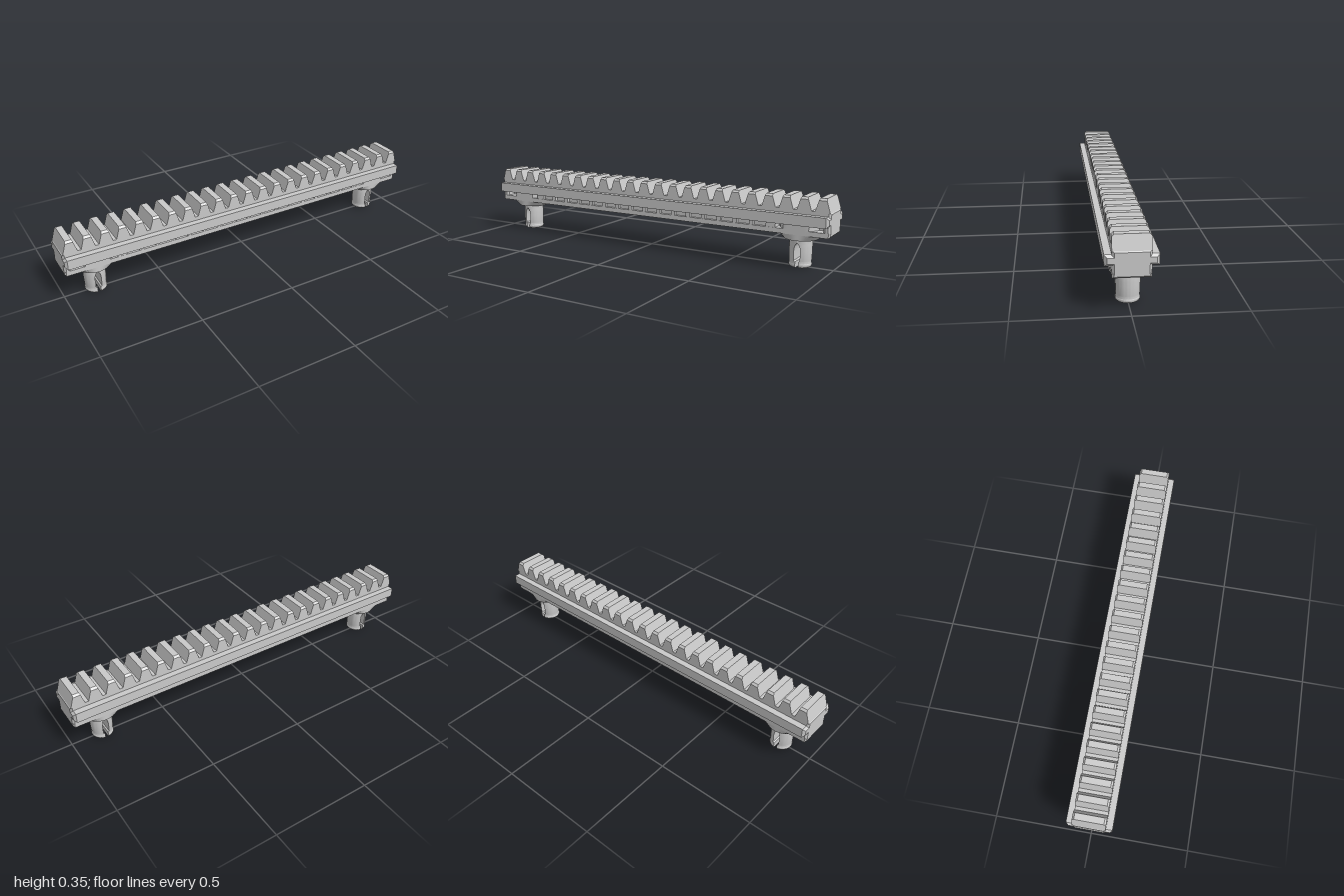
import * as THREE from 'three';
import { toCreasedNormals } from 'three/addons/utils/BufferGeometryUtils.js';

const PITCH = 0.0873, TEETH = 23, PEG_X = 0.837;

export function createModel() {
  const group = new THREE.Group();
  group.name = 'gearRack';
  const grey = new THREE.MeshStandardMaterial({ color: 0xcacaca });
  grey.name = 'light grey';

  const add = (name, geometry) => {
    const mesh = new THREE.Mesh(geometry, grey);
    mesh.name = name;
    group.add(mesh);
    return mesh;
  };

  const shapeOf = (points) => new THREE.Shape(points.map(([x, y]) => new THREE.Vector2(x, y)));

  // Bar along x with chamfered ends; the chamfer stays inside the outline
  const bar = (name, x0, x1, y0, y1, z0, z1, b) => {
    const g = new THREE.ExtrudeGeometry(shapeOf([[-z1, y0], [-z0, y0], [-z0, y1], [-z1, y1]]), {
      depth: x1 - x0 - 2 * b, bevelEnabled: true, bevelThickness: b,
      bevelSize: b, bevelOffset: -b, bevelSegments: 1,
    });
    g.translate(0, 0, b).rotateY(Math.PI / 2).translate(x0, 0, 0);
    return add(name, g);
  };

  const box = (name, x0, x1, y0, y1, halfZ) =>
    add(name, new THREE.BoxGeometry(x1 - x0, y1 - y0, halfZ * 2)
      .translate((x0 + x1) / 2, (y0 + y1) / 2, 0));

  // Upper body: chamfered ends below, square-edged floor between the teeth
  bar('upperBody', -1, 1, 0.215, 0.29, -0.082, 0.082, 0.01);
  box('toothFloor', -0.99, 0.99, 0.25, 0.29, 0.082);

  // Teeth: section with cut top corners, tapered along x with height
  const tooth = new THREE.ExtrudeGeometry(shapeOf([
    [-0.082, 0.285], [0.082, 0.285], [0.082, 0.342], [0.072, 0.352], [-0.072, 0.352], [-0.082, 0.342],
  ]), { depth: 2, bevelEnabled: false });
  tooth.translate(0, 0, -1).rotateY(Math.PI / 2);
  const tp = tooth.attributes.position;
  for (let i = 0; i < tp.count; i++)
    tp.setX(i, tp.getX(i) * THREE.MathUtils.mapLinear(tp.getY(i), 0.29, 0.352, 0.035, 0.016));
  tooth.computeVertexNormals();
  for (let i = 0; i < TEETH; i++)
    add('tooth', tooth).position.x = (i - (TEETH - 1) / 2) * PITCH;

  // Side rails
  bar('leftRail', -1, 1, 0.22, 0.27, 0.06, 0.1135, 0.012);
  bar('rightRail', -1, 1, 0.22, 0.27, -0.1135, -0.06, 0.012);

  // Base plate and recessed core
  bar('basePlate', -1, 1, 0.168, 0.192, -0.082, 0.082, 0.008);
  box('endCore', -0.97, 0.97, 0.18, 0.235, 0.03);
  box('middleCore', -0.7, 0.7, 0.18, 0.235, 0.066);

  // Ribs between the side pockets
  for (let i = -7; i <= 7; i++)
    box('pocketRib', i * PITCH - 0.011, i * PITCH + 0.011, 0.185, 0.235, 0.081);
  box('pegRib', 0.687, 0.735, 0.185, 0.235, 0.081);
  box('pegRib', -0.735, -0.687, 0.185, 0.235, 0.081);
  bar('endBlock', 0.965, 1, 0.168, 0.25, -0.082, 0.082, 0.01);
  bar('endBlock', -1, -0.965, 0.168, 0.25, -0.082, 0.082, 0.01);

  // Round part trimmed to the body width
  const trimmedDisc = (rTop, rBottom, y0, y1) => {
    const g = new THREE.CylinderGeometry(rTop, rBottom, y1 - y0, 48).translate(0, (y0 + y1) / 2, 0);
    const p = g.attributes.position;
    for (let i = 0; i < p.count; i++)
      p.setZ(i, THREE.MathUtils.clamp(p.getZ(i), -0.082, 0.082));
    return toCreasedNormals(g.toNonIndexed(), 0.5);
  };

  // Split pegs, each with a hub in the body and a collar below it
  for (const side of [-1, 1]) {
    add('pegHub', trimmedDisc(0.102, 0.102, 0.175, 0.235)).position.x = side * PEG_X;
    add('pegCollar', trimmedDisc(0.108, 0.082, 0.14, 0.17)).position.x = side * PEG_X;
    for (const half of [0, Math.PI]) {
      const peg = add('pegHalf', pegHalf());
      peg.position.x = side * PEG_X;
      peg.rotation.y = half;
    }
  }
  return group;
}

// Half of a slotted peg, lofted through D-shaped sections: height, radius, slot half-width
function pegHalf() {
  const rows = [
    [0, 0.044, 0.008], [0.004, 0.051, 0.008], [0.01, 0.055, 0.008], [0.018, 0.055, 0.008],
    [0.021, 0.053, 0.008], [0.03, 0.053, 0.008], [0.036, 0.054, 0.015], [0.08, 0.0555, 0.016],
    [0.1, 0.0555, 0.014], [0.112, 0.0555, 0.01], [0.119, 0.055, 0.005], [0.122, 0.055, 0],
    [0.145, 0.055, 0],
  ];
  const N = 20, pos = [], idx = [];
  for (const [y, r, s] of rows) {
    const a = Math.acos(s / r);
    for (let j = 0; j < N; j++) {
      const t = -a + 2 * a * j / (N - 1);
      pos.push(r * Math.cos(t), y, -r * Math.sin(t));
    }
  }
  for (let i = 0; i < rows.length - 1; i++)
    for (let j = 0; j < N; j++) {
      const a = i * N + j, b = i * N + (j + 1) % N;
      idx.push(a, b, b + N, a, b + N, a + N);
    }
  const top = (rows.length - 1) * N;
  for (let j = 1; j < N - 1; j++) {
    idx.push(0, j + 1, j);
    idx.push(top, top + j, top + j + 1);
  }
  const g = new THREE.BufferGeometry();
  g.setAttribute('position', new THREE.Float32BufferAttribute(pos, 3));
  g.setIndex(idx);
  return toCreasedNormals(g.toNonIndexed(), 0.6);
}
